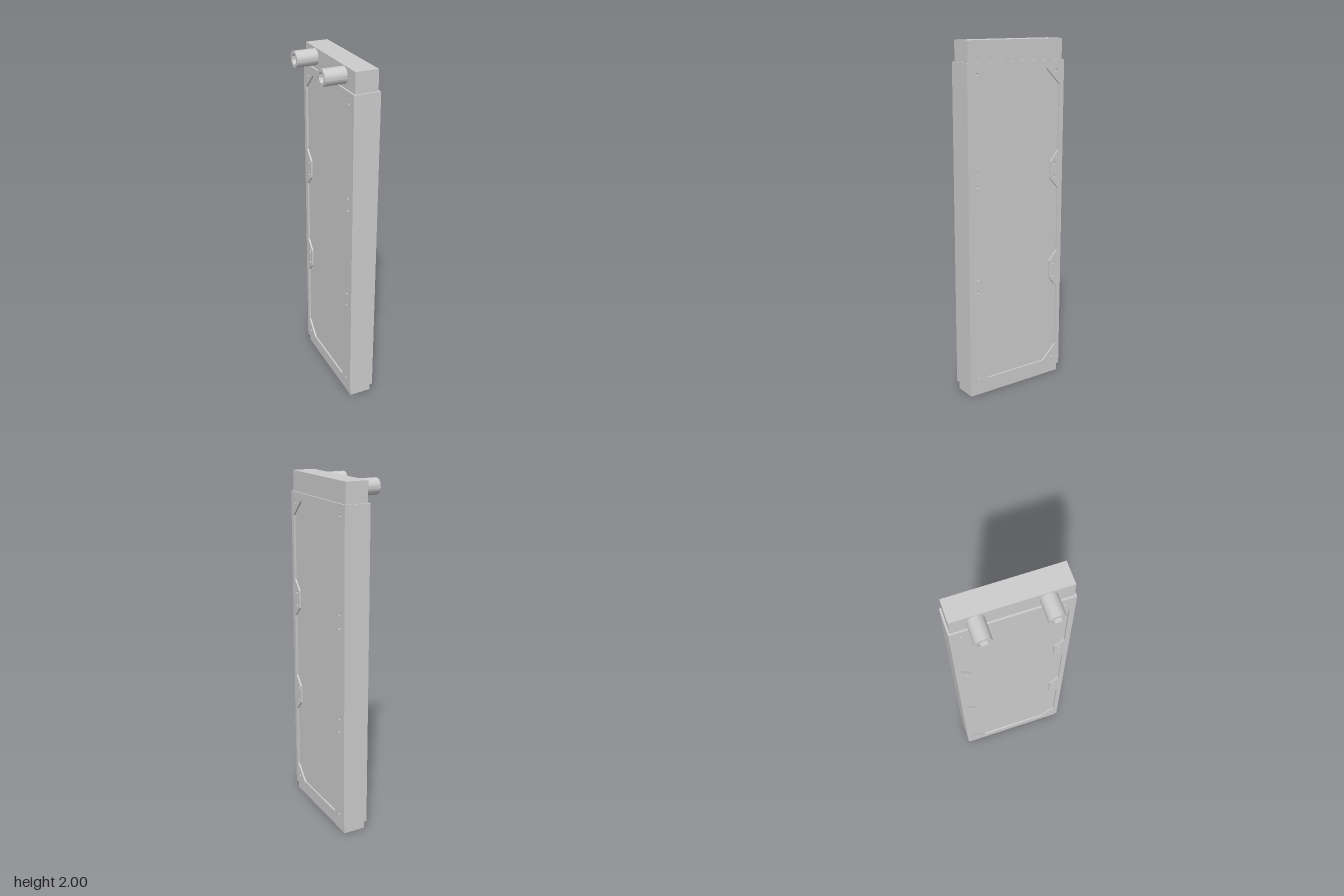
import * as THREE from 'three';
import { toCreasedNormals } from 'three/addons/utils/BufferGeometryUtils.js';

const MID_Y = 0.967; // centre height of the frame
const HALF_H = 0.919, HALF_W = 0.319;
const CORE_W = 0.309, CORE_BACK = -0.008, CORE_FRONT = 0.121, PLATE = 0.01;

export function createModel() {
  const model = new THREE.Group();
  model.name = 'radiator';
  const material = new THREE.MeshStandardMaterial({ color: 0xcccccc });

  const add = (name, geometry, x, y, z) => {
    const mesh = new THREE.Mesh(geometry, material);
    mesh.name = name;
    mesh.position.set(x, y, z);
    model.add(mesh);
    return mesh;
  };
  // Extrudes a shape along +x
  const extrudeX = (shape, depth, curveSegments) => {
    const g = new THREE.ExtrudeGeometry(shape, { depth, curveSegments, bevelEnabled: false });
    return toCreasedNormals(g.rotateY(Math.PI / 2), 0.6);
  };

  // Core with the end tanks
  const coreDepth = CORE_FRONT - CORE_BACK;
  add('coreAndTanks', new THREE.BoxGeometry(coreDepth, 2, CORE_W * 2),
    (CORE_FRONT + CORE_BACK) / 2, 1, 0);

  // Face plate: notched window and screw holes, relative to the frame centre
  const plate = new THREE.Shape([
    [-HALF_W, -HALF_H], [HALF_W, -HALF_H], [HALF_W, HALF_H], [-HALF_W, HALF_H],
  ].map(([x, y]) => new THREE.Vector2(x, y)));
  const edge = [[0.2, -0.872], [0.29, -0.785]];
  for (const c of [-0.298, 0.3]) {
    edge.push([0.29, c - 0.11], [0.236, c - 0.052], [0.236, c + 0.052], [0.29, c + 0.11]);
  }
  edge.push([0.29, 0.785], [0.2, 0.872]);
  const outline = [...edge, ...edge.map(([x, y]) => [-x, y]).reverse()];
  plate.holes.push(new THREE.Path(outline.map(([x, y]) => new THREE.Vector2(x, y))));
  for (const x of [-0.262, 0.262]) {
    for (const y of [-0.858, -0.337, -0.262, 0.262, 0.337, 0.86]) {
      plate.holes.push(new THREE.Path().absarc(x, y, 0.008, 0, Math.PI * 2, true));
    }
  }
  const plateGeometry = extrudeX(plate, PLATE, 8);
  add('leftFacePlate', plateGeometry, CORE_FRONT, MID_Y, 0);
  add('rightFacePlate', plateGeometry, CORE_BACK - PLATE, MID_Y, 0);

  // Frame side walls
  const wall = new THREE.BoxGeometry(coreDepth, HALF_H * 2, HALF_W - CORE_W);
  for (const s of [-1, 1]) {
    add(s > 0 ? 'frontSideWall' : 'backSideWall', wall,
      (CORE_FRONT + CORE_BACK) / 2, MID_Y, s * (HALF_W + CORE_W) / 2);
  }

  // Hollow hose fittings on the upper tank
  const ring = new THREE.Shape().absarc(0, 0, 0.045, 0, Math.PI * 2, false);
  ring.holes.push(new THREE.Path().absarc(0, 0, 0.029, 0, Math.PI * 2, true));
  const pipe = extrudeX(ring, 0.124, 24);
  add('frontPipe', pipe, -0.132, 1.95, 0.178);
  add('backPipe', pipe, -0.132, 1.95, -0.18);

  return model;
}
